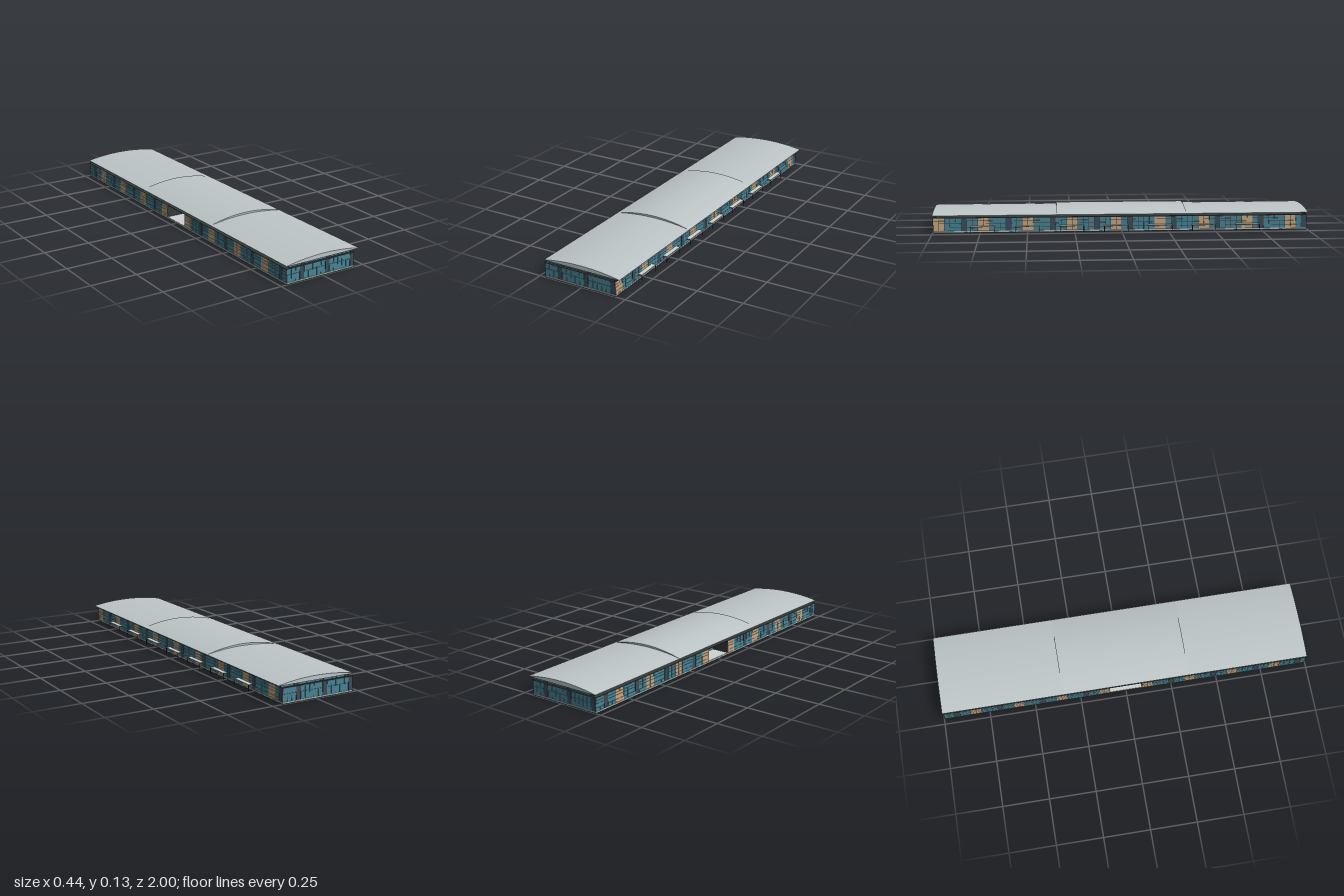
import * as THREE from 'three';
import { mergeGeometries } from 'three/addons/utils/BufferGeometryUtils.js';

const mat = (name, color) => {
  const m = new THREE.MeshStandardMaterial({ color });
  m.name = name;
  return m;
};

export function createModel() {
  const M = {
    roof: mat('roofGrey', 0xbec6c8),
    soffit: mat('soffitGrey', 0x959a9c),
    glass: mat('tealGlass', 0x4a8494),
    dark: mat('slatePanel', 0x3b4c58),
    tan: mat('tanPanel', 0xc6a880),
    frame: mat('darkFrame', 0x343a3c),
    slab: mat('slabGrey', 0x5c6163),
    plinth: mat('plinthGrey', 0xb2b8b8),
    pale: mat('paleGrey', 0xcdd2d3),
    wood: mat('woodBrown', 0xa87448),
  };
  const group = new THREE.Group();
  group.name = 'longHall';

  const add = (parent, name, geo, material) => {
    const mesh = new THREE.Mesh(geo, material);
    mesh.name = name;
    parent.add(mesh);
  };
  // box given by its min and max corners
  const boxGeo = (x0, x1, y0, y1, z0, z1) =>
    new THREE.BoxGeometry(x1 - x0, y1 - y0, z1 - z0)
      .translate((x0 + x1) / 2, (y0 + y1) / 2, (z0 + z1) / 2);
  const box = (name, material, ...b) => add(group, name, boxGeo(...b), material);

  const L = -0.217, R = 0.193, mid = (L + R) / 2, END = 0.997;
  const BAY = (2 * END) / 68;
  const PORCH = 3 * BAY, PORCH_X = L + 0.1;

  // floor slab, plinth, framed body with a porch recess, and its flat top
  box('floorSlab', M.slab, -0.219, 0.196, 0, 0.003, -1, 1);
  box('plinth', M.plinth, -0.219, 0.195, 0.003, 0.009, -0.999, 0.999);
  box('bodyFrame', M.frame, L, R, 0.009, 0.078, PORCH, END);
  box('bodyFrame', M.frame, L, R, 0.009, 0.078, -END, -PORCH);
  box('porchBody', M.frame, PORCH_X, R, 0.009, 0.078, -PORCH, PORCH);
  box('porchFloor', M.pale, L, PORCH_X, 0.009, 0.0105, -PORCH, PORCH);
  box('bodyCap', M.frame, -0.219, 0.195, 0.078, 0.08, -0.999, 0.999);

  // wall of panes along local x facing +z; gaps reveal the dark frame as mullions
  function wall(name, length, bays, rows, pick) {
    const g = new THREE.Group();
    g.name = name;
    const sets = { glass: [], dark: [], tan: [] };
    const w = length / bays, gap = 0.0009;
    for (let i = 0; i < bays; i++) {
      const kind = pick(i);
      if (!kind) continue;
      const x = -length / 2 + i * w;
      // opaque slate panels are unbroken, the others are split by transoms
      const spans = kind === 'dark' ? [[rows[0][0], rows[rows.length - 1][1]]] : rows;
      for (const [y0, y1] of spans) {
        sets[kind].push(boxGeo(x + gap, x + w - gap, y0, y1, 0, 0.002));
      }
    }
    for (const kind in sets) {
      if (sets[kind].length) add(g, kind + 'Panes', mergeGeometries(sets[kind]), M[kind]);
    }
    group.add(g);
    return g;
  }

  // end walls: 16 bays with a dark panel every sixth bay
  const tall = [[0.0105, 0.0485], [0.05, 0.0775]];
  const endPick = (i) => (i % 6 === 3 ? 'dark' : 'glass');
  wall('frontWall', R - L, 16, tall, endPick).position.set(mid, 0, END);
  const back = wall('backWall', R - L, 16, tall, endPick);
  back.position.set(mid, 0, -END);
  back.rotation.y = Math.PI;

  // long walls: tan pair every eighth bay, dark panels between
  const rows = [[0.0105, 0.0265], [0.028, 0.0485], [0.05, 0.063], [0.0645, 0.077]];
  const canopySide = wall('canopySideWall', 2 * END, 68, rows, (i) => {
    if (i % 8 < 2) return 'tan';
    return i % 8 === (i < 34 ? 5 : 3) ? 'dark' : 'glass';
  });
  canopySide.position.set(R, 0, 0);
  canopySide.rotation.y = Math.PI / 2;

  const plainSide = wall('plainSideWall', 2 * END, 68, rows, (i) => {
    if (i > 30 && i < 37) return null;
    if ((i + 3) % 8 < 2) return 'tan';
    return i % 8 === 2 ? 'dark' : 'glass';
  });
  plainSide.position.set(L, 0, 0);
  plainSide.rotation.y = -Math.PI / 2;

  // glazing at the back of the porch
  const porch = wall('porchGlazing', 2 * PORCH, 6, rows, () => 'glass');
  porch.position.set(PORCH_X, 0, 0);
  porch.rotation.y = -Math.PI / 2;

  // glazed strips below the roof at both ends, open along the sides
  for (const s of [-1, 1]) {
    const z = s * 0.985;
    box('upperFrame', M.frame, -0.2, 0.2, 0.08, 0.093, z - 0.002, z + 0.002);
    const strip = wall('upperGlazing', 0.4, 16, [[0.082, 0.0928]], endPick);
    strip.position.z = z + s * 0.002;
    if (s < 0) strip.rotation.y = Math.PI;
  }

  // arched roof: a long low vault and a higher one over the middle
  function vault(name, rise, half) {
    const shape = new THREE.Shape();
    const W = 0.22, n = 20;
    shape.moveTo(-W, 0.0938);
    shape.lineTo(W, 0.0938);
    for (let i = 0; i <= n; i++) {
      const x = W - (2 * W * i) / n;
      shape.lineTo(x, 0.0955 + rise * (1 - (x / W) ** 2));
    }
    const geo = new THREE.ExtrudeGeometry(shape, { depth: 2 * half, bevelEnabled: false });
    add(group, name, geo.translate(0, 0, -half), M.roof);
  }
  vault('mainRoof', 0.0205, 1);
  vault('raisedRoof', 0.0305, 0.345);
  box('soffit', M.soffit, -0.2195, 0.2195, 0.093, 0.0938, -0.9995, 0.9995);

  // entrance canopies on posts with timber undersides
  for (let k = 0; k < 7; k++) {
    const z = 0.735 - k * 0.235;
    box('canopy', M.pale, R, 0.219, 0.0335, 0.0355, z - 0.065, z + 0.065);
    box('canopyUnderside', M.wood, R, 0.218, 0.0325, 0.0335, z - 0.064, z + 0.064);
    for (const s of [-1, 1]) {
      const p = z + s * 0.063;
      box('canopyPost', M.frame, 0.2165, 0.219, 0, 0.0335, p - 0.0015, p + 0.0015);
      box('canopyBeam', M.frame, R, 0.218, 0.031, 0.0335, p - 0.0015, p + 0.0015);
    }
  }
  return group;
}
